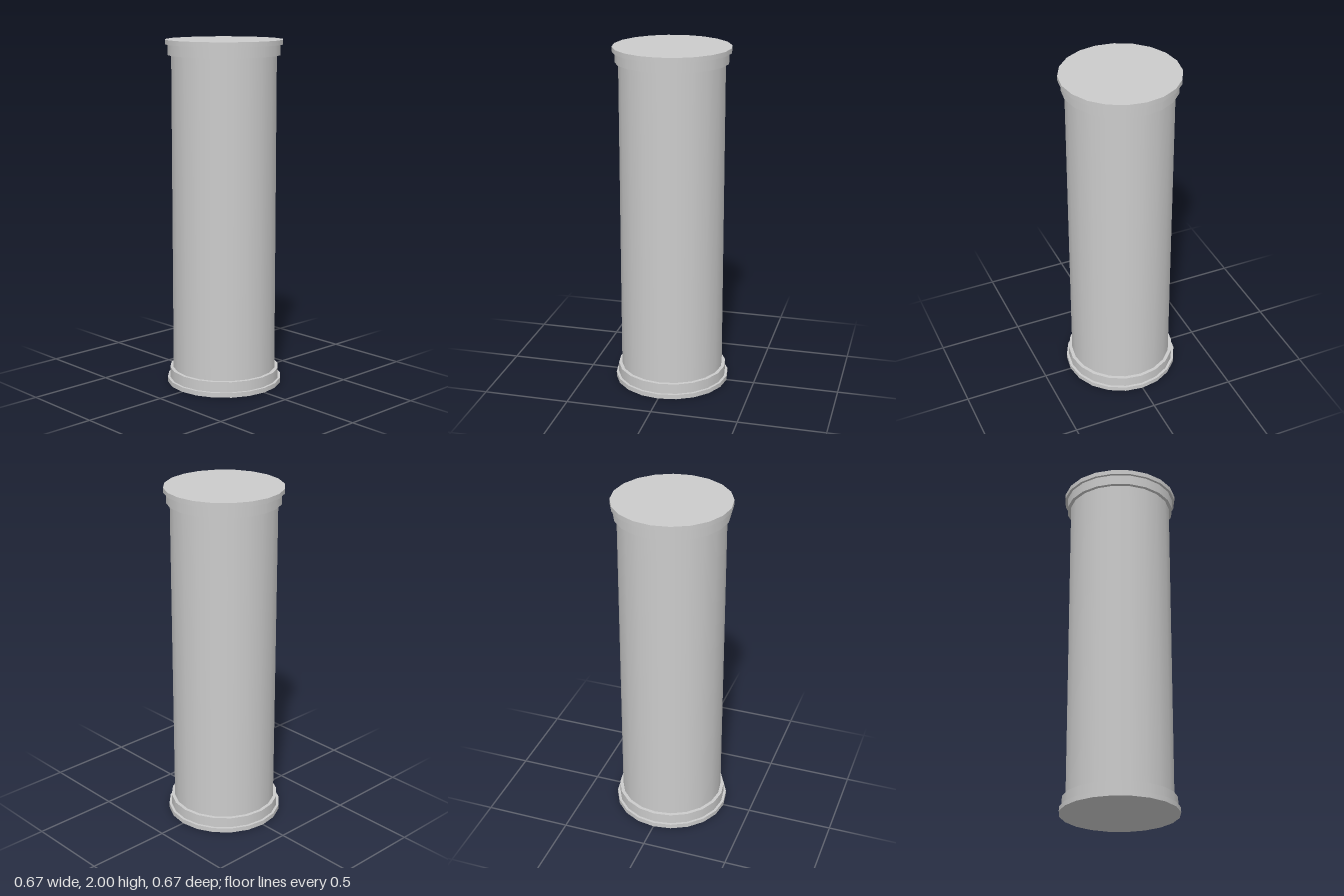
import * as THREE from 'three';

const SIDES = 20;
const HEIGHT = 2;
const LIP = 0.027; // thickness of the outer lip
const COLLAR = 0.087; // height of lip and collar together

export function createModel() {
  const model = new THREE.Group();
  model.name = 'column';
  const material = new THREE.MeshStandardMaterial({ color: 0xcccccc });

  // Upright round drum between two heights
  function drum(name, radius, bottom, top) {
    const geometry = new THREE.CylinderGeometry(radius, radius, top - bottom, SIDES);
    const mesh = new THREE.Mesh(geometry, material);
    mesh.name = name;
    mesh.position.y = (bottom + top) / 2;
    model.add(mesh);
  }

  // Base, shaft and matching capital
  drum('baseLip', 0.335, 0, LIP);
  drum('baseCollar', 0.32, LIP, COLLAR);
  drum('shaft', 0.3, COLLAR, HEIGHT - COLLAR);
  drum('capitalCollar', 0.32, HEIGHT - COLLAR, HEIGHT - LIP);
  drum('capitalLip', 0.335, HEIGHT - LIP, HEIGHT);

  return model;
}
